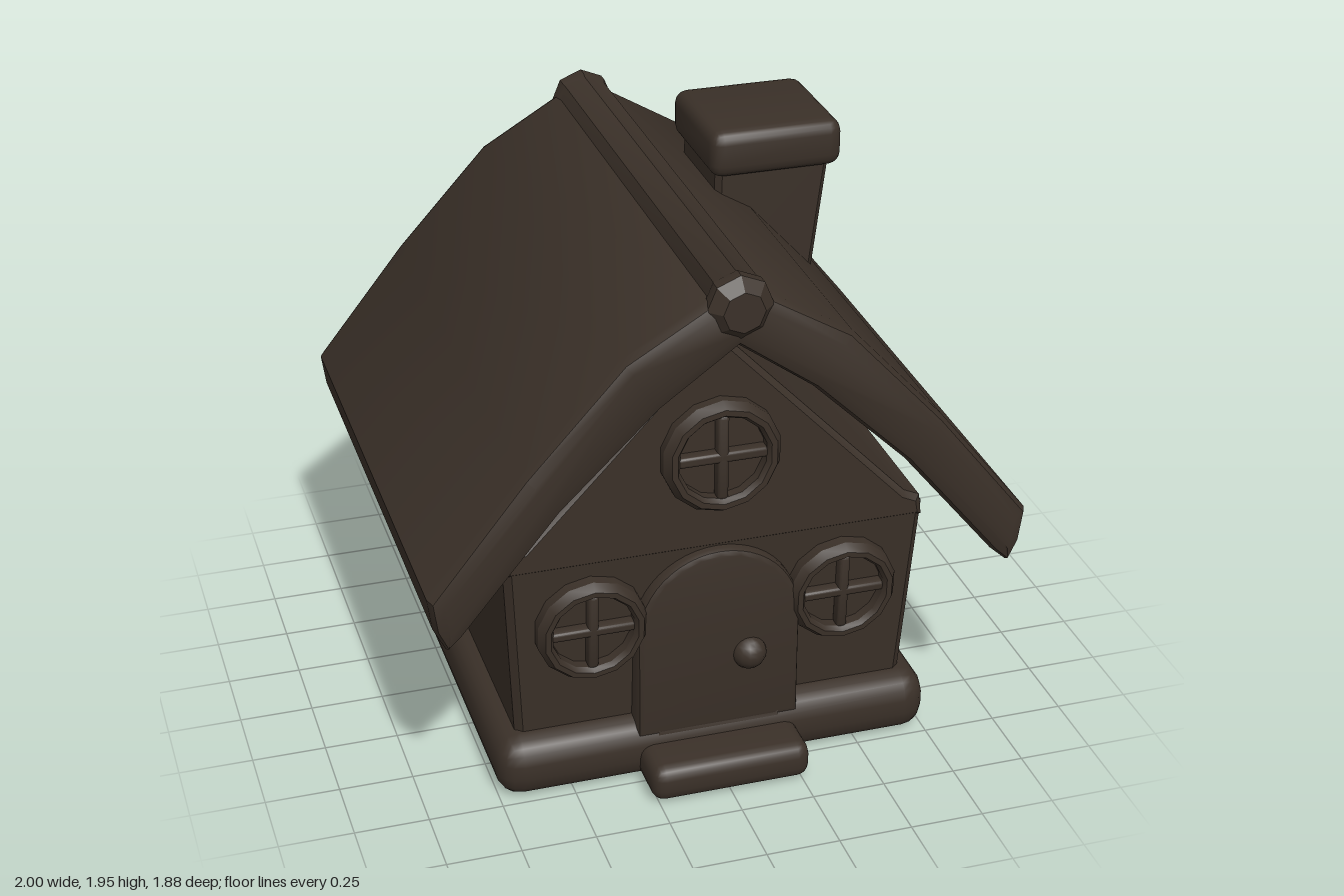
import * as THREE from 'three';
import { toCreasedNormals } from 'three/addons/utils/BufferGeometryUtils.js';
import { RoundedBoxGeometry } from 'three/addons/geometries/RoundedBoxGeometry.js';

const material = new THREE.MeshStandardMaterial({ color: 0x3a3028 });

function part(name, geometry, x = 0, y = 0, z = 0, crease = 0.6) {
  const mesh = new THREE.Mesh(toCreasedNormals(geometry, crease), material);
  mesh.name = name;
  mesh.position.set(x, y, z);
  return mesh;
}

const roundedBox = (w, h, d, r) => new RoundedBoxGeometry(w, h, d, 2, r);

const outline = (points) => new THREE.Shape(points.map(([x, y]) => new THREE.Vector2(x, y)));

// Extrude from z0 to z1 with bevelled rims that stay inside the outline
function slab(shape, z0, z1, bevel, segments = 1) {
  const geometry = new THREE.ExtrudeGeometry(shape, {
    depth: z1 - z0 - 2 * bevel, bevelEnabled: true, bevelThickness: bevel,
    bevelSize: bevel, bevelOffset: -bevel, bevelSegments: segments, curveSegments: 12,
  });
  return geometry.translate(0, 0, z0 + bevel);
}

// Doorway outline: straight jambs and a round head
function arch(halfWidth, bottom, spring) {
  const s = new THREE.Shape();
  s.moveTo(-halfWidth, bottom);
  s.lineTo(halfWidth, bottom);
  s.lineTo(halfWidth, spring);
  s.absarc(0, spring, halfWidth, 0, Math.PI, false);
  s.closePath();
  return s;
}

// Round window facing +z: bevelled ring, pane and cross bars
function roundWindow(name, r, depth) {
  const group = new THREE.Group();
  group.name = name;
  const profile = [[0.74, -0.3], [1, -0.3], [1, 0.55], [0.9, 1], [0.8, 1], [0.74, 0.75], [0.74, -0.3]]
    .map(([a, b]) => new THREE.Vector2(a * r, b * depth));
  group.add(part('windowRing', new THREE.LatheGeometry(profile, 14).rotateX(Math.PI / 2), 0, 0, 0, 0.5));
  group.add(part('windowPane', new THREE.CylinderGeometry(r * 0.78, r * 0.78, depth * 0.5, 14).rotateX(Math.PI / 2)));
  const bar = r * 0.19;
  group.add(part('verticalBar', roundedBox(bar, r * 1.52, depth * 0.7, 0.012), 0, 0, depth * 0.45));
  group.add(part('horizontalBar', roundedBox(r * 1.52, bar, depth * 0.7, 0.012), 0, 0, depth * 0.45));
  return group;
}

export function createModel() {
  const house = new THREE.Group();
  house.name = 'cottage';

  // Plinth and doorstep
  house.add(part('plinth', roundedBox(1.51, 0.22, 1.5, 0.085), 0, 0.11, 0));
  house.add(part('doorstep', roundedBox(0.55, 0.13, 0.36, 0.045), 0, 0.075, 0.73));

  // Walls flare outward toward the eaves
  const walls = slab(outline([[-0.675, 0.15], [0.675, 0.15], [0.715, 0.89], [-0.715, 0.89]]), -0.71, 0.71, 0.025);
  const p = walls.attributes.position;
  for (let i = 0; i < p.count; i++) {
    const t = (p.getY(i) - 0.15) / 0.74;
    p.setZ(i, p.getZ(i) * (0.925 + 0.075 * t));
  }
  house.add(part('walls', walls, 0, 0, 0, 0.4));

  // Gable block with clipped shoulders
  house.add(part('gable', slab(outline([
    [-0.715, 0.84], [0.715, 0.84], [0.705, 0.915], [0.65, 0.94], [0, 1.62], [-0.65, 0.94], [-0.705, 0.915],
  ]), -0.71, 0.71, 0.02), 0, 0, 0, 0.4));

  // Roof: one thick bowed chevron, mirrored about the ridge
  const upper = [[1, 0.92], [0.69, 1.31], [0.37, 1.66], [0.1, 1.82]];
  const lower = [[0.25, 1.48], [0.57, 1.17], [0.89, 0.78], [0.945, 0.73], [0.985, 0.81]];
  const mirror = (pts) => pts.map(([x, y]) => [-x, y]).reverse();
  house.add(part('roof', slab(outline([
    [0, 1.66], ...lower, ...upper, ...mirror(upper), ...mirror(lower),
  ]), -0.915, 0.915, 0.045, 2), 0, 0, 0, 0.7));

  // Ridge beam: octagonal bar with thicker tapered ends
  const half = [[0, 0.94], [0.068, 0.94], [0.108, 0.9], [0.108, 0.86], [0.1, 0.84]];
  const ridge = [...half.map(([r, z]) => [r, -z]), ...half.slice().reverse()]
    .map(([r, z]) => new THREE.Vector2(r, z));
  house.add(part('ridgeBeam', new THREE.LatheGeometry(ridge, 8).rotateX(Math.PI / 2), 0, 1.795, 0, 0.4));

  // Chimney: shaft cut off along the roof slope, with a rounded cap
  house.add(part('chimneyShaft', slab(outline([
    [0.24, 1.42], [0.515, 1.11], [0.57, 1.15], [0.655, 1.83], [0.25, 1.83],
  ]), -0.475, -0.095, 0.02)));
  house.add(part('chimneyCap', roundedBox(0.465, 0.165, 0.46, 0.045), 0.455, 1.868, -0.29));

  // Door with arched frame and knob
  const frame = arch(0.28, 0.17, 0.57);
  frame.holes.push(arch(0.19, 0.19, 0.57));
  house.add(part('doorFrame', slab(frame, 0.6, 0.745, 0.02, 2)));
  house.add(part('door', slab(arch(0.2, 0.17, 0.57), 0.6, 0.718, 0.01)));
  house.add(part('doorKnob', new THREE.SphereGeometry(0.06, 14, 10), 0.105, 0.44, 0.733));

  // Front, gable and side windows
  const gableWindow = roundWindow('gableWindow', 0.2, 0.07);
  gableWindow.position.set(0, 1.2, 0.705);
  house.add(gableWindow);
  for (const side of [-1, 1]) {
    const label = side > 0 ? 'left' : 'right';
    const front = roundWindow(label + 'FrontWindow', 0.188, 0.07);
    front.position.set(side * 0.43, 0.62, 0.692);
    front.rotation.x = 0.06;
    house.add(front);
    const flank = roundWindow(label + 'SideWindow', 0.24, 0.08);
    flank.position.set(side * 0.7, 0.6, 0);
    flank.rotation.y = side * Math.PI / 2;
    house.add(flank);
  }
  return house;
}
